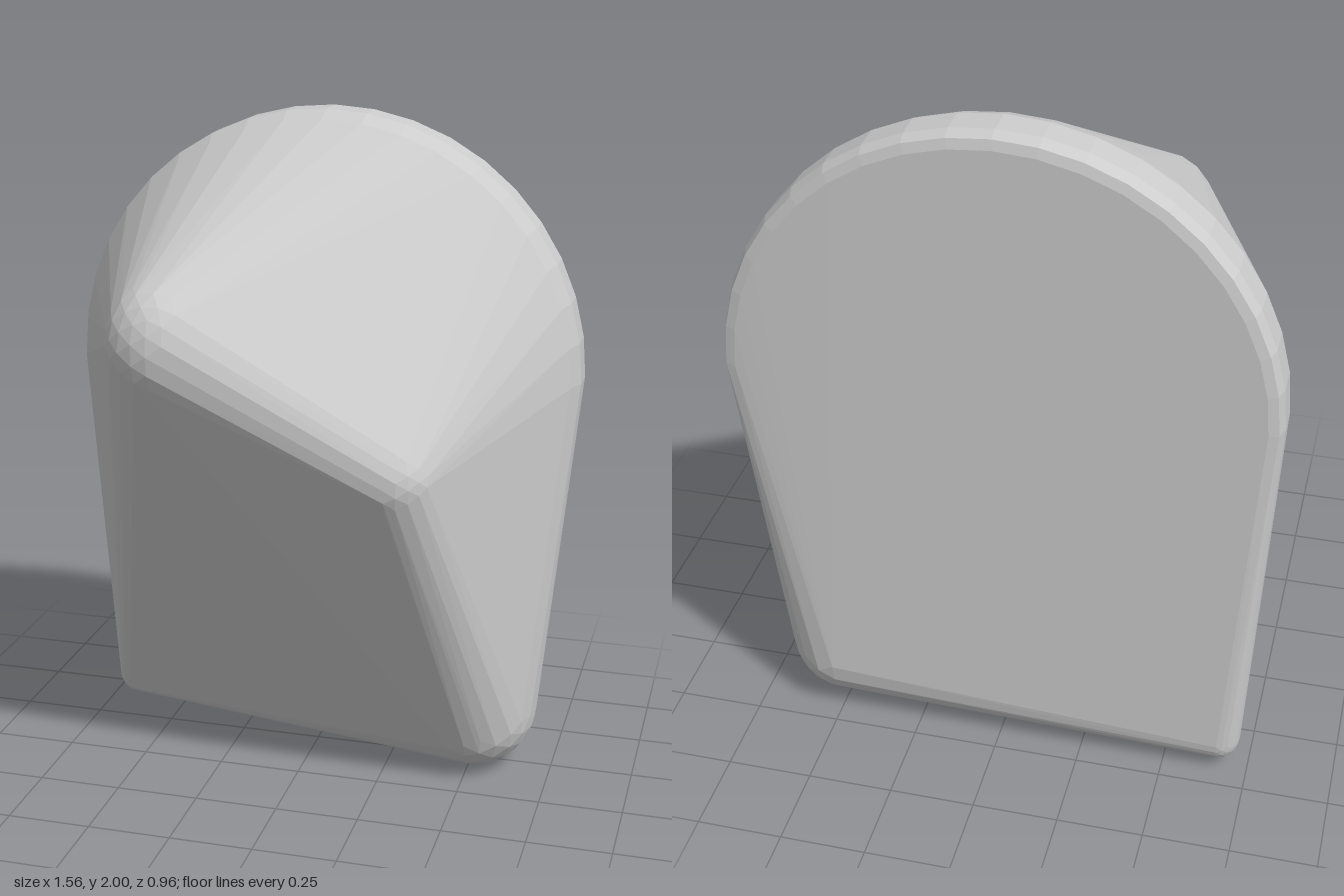
import * as THREE from 'three';
import { ConvexGeometry } from 'three/addons/geometries/ConvexGeometry.js';

// Points on a faceted ellipsoid, used as a rounded corner of the hull
function roundedCorner(center, radii) {
  const pos = new THREE.IcosahedronGeometry(1, 3).getAttribute('position');
  const points = [];
  for (let i = 0; i < pos.count; i++) {
    points.push(new THREE.Vector3().fromBufferAttribute(pos, i)
      .multiply(new THREE.Vector3(...radii))
      .add(new THREE.Vector3(...center)));
  }
  return points;
}

// Half-round rim of the back face: a bevelled profile swept over the arch
function archRim(centerY, profile, segments) {
  const points = [];
  for (let i = 0; i <= segments; i++) {
    const a = Math.PI * i / segments;
    for (const [r, z] of profile) {
      points.push(new THREE.Vector3(r * Math.cos(a), centerY + r * Math.sin(a), z));
    }
  }
  return points;
}

export function createModel() {
  const group = new THREE.Group();
  group.name = 'stone';

  const points = [
    // arched back edge
    ...archRim(1.22, [[0.74, -0.455], [0.768, -0.447], [0.78, -0.41], [0.78, -0.32], [0.757, -0.26]], 20),
    // two ends of the broad, slanting front ridge
    ...roundedCorner([-0.295, 1.43, 0.31], [0.17, 0.185, 0.17]),
    ...roundedCorner([0.34, 1.075, 0.245], [0.13, 0.13, 0.13]),
    // thick left foot and thin right foot
    ...roundedCorner([0.51, 0.19, -0.255], [0.187, 0.19, 0.225]),
    ...roundedCorner([-0.66, 0.105, -0.39], [0.062, 0.08, 0.068]),
  ];

  const material = new THREE.MeshStandardMaterial({ color: 0xcccccc, flatShading: true });
  const body = new THREE.Mesh(new ConvexGeometry(points), material);
  body.name = 'body';
  group.add(body);
  return group;
}
